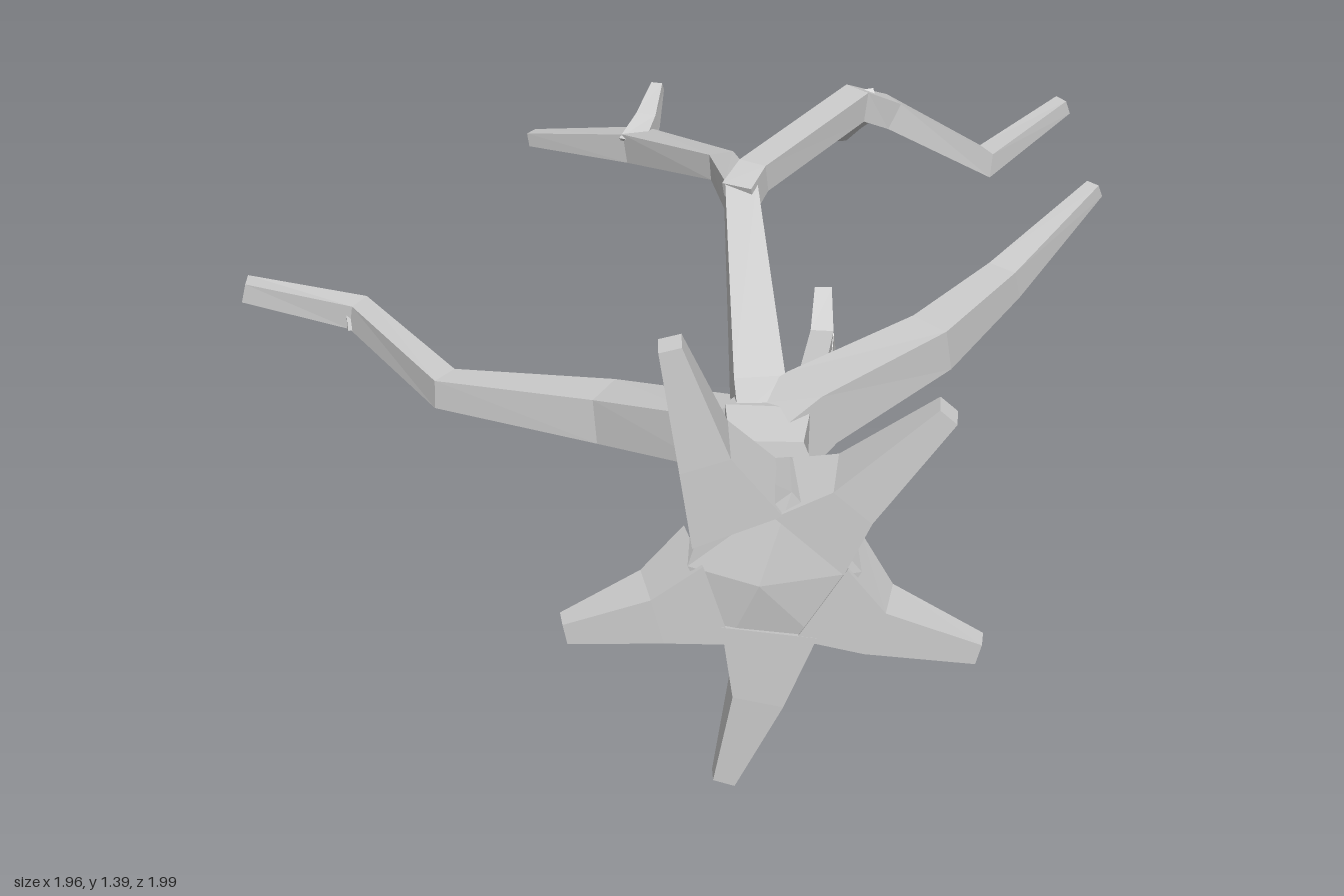
import * as THREE from 'three';
import { ConvexGeometry } from 'three/addons/geometries/ConvexGeometry.js';

const bark = new THREE.MeshStandardMaterial({ color: 0xcccccc, flatShading: true });

// Square-section limb through nodes [x, y, z, half width, half depth?].
function limbGeometry(nodes, up) {
  const pts = nodes.map((n) => new THREE.Vector3(n[0], n[1], n[2]));
  const last = pts.length - 1;
  const rings = pts.map((p, i) => {
    const t = new THREE.Vector3();
    if (i > 0) t.add(p.clone().sub(pts[i - 1]).normalize());
    if (i < last) t.add(pts[i + 1].clone().sub(p).normalize());
    t.normalize();
    const side = up.clone().cross(t).normalize();
    const normal = t.clone().cross(side);
    const [w, d = w] = nodes[i].slice(3);
    return [[-1, -1], [1, -1], [1, 1], [-1, 1]].map(([a, b]) =>
      p.clone().addScaledVector(side, a * w).addScaledVector(normal, b * d));
  });
  const out = [];
  const quad = (a, b, c, d) => out.push(a, b, c, a, c, d);
  for (let k = 0; k < last; k++) {
    for (let i = 0; i < 4; i++) {
      const j = (i + 1) % 4;
      quad(rings[k][i], rings[k][j], rings[k + 1][j], rings[k + 1][i]);
    }
  }
  quad(...rings[last]);
  quad(...rings[0].slice().reverse());
  const geometry = new THREE.BufferGeometry().setFromPoints(out);
  geometry.computeVertexNormals();
  return geometry;
}

const UP = new THREE.Vector3(0, 1, 0);
const FORWARD = new THREE.Vector3(0, 0, 1);

export function createModel() {
  const tree = new THREE.Group();
  tree.name = 'fallenTree';
  const add = (name, geometry) => {
    const mesh = new THREE.Mesh(geometry, bark);
    mesh.name = name;
    tree.add(mesh);
  };
  const limb = (name, nodes, up = UP) => add(name, limbGeometry(nodes, up));

  // Trunk, lying along z
  limb('trunk', [
    [0.22, 0.88, 0.76, 0.12], [0.22, 0.88, 0.68, 0.09], [0.22, 0.88, 0.57, 0.076],
    [0.225, 0.88, 0.44, 0.09], [0.235, 0.89, 0.34, 0.062],
  ]);

  // Flared root crown
  const valleys = [[0.26, 1.07], [0.4, 0.89], [0.32, 0.73], [0.14, 0.72], [0.06, 0.9]];
  const crown = [new THREE.Vector3(0.2, 0.87, 0.99)];
  for (const [x, y] of valleys) {
    crown.push(new THREE.Vector3(x, y, 0.965));
    crown.push(new THREE.Vector3(0.225 + (x - 0.225) * 0.97, 0.88 + (y - 0.88) * 0.97, 0.82));
  }
  for (const [a, b] of [[-1, -1], [1, -1], [1, 1], [-1, 1]]) {
    crown.push(new THREE.Vector3(0.22 + a * 0.09, 0.88 + b * 0.09, 0.68));
  }
  add('rootCrown', new ConvexGeometry(crown));

  // Roots: [shoulder x, y], [middle x, y], [tip x, y]
  const roots = [
    [[0.15, 1.0], [0.09, 1.14], [0.025, 1.38]],
    [[0.31, 0.97], [0.385, 1.05], [0.555, 1.24]],
    [[0.34, 0.81], [0.44, 0.75], [0.64, 0.7]],
    [[0.22, 0.74], [0.2, 0.58], [0.135, 0.38]],
    [[0.1, 0.81], [-0.01, 0.775], [-0.185, 0.74]],
  ];
  for (const [a, b, c] of roots) {
    limb('root', [
      [...a, 0.89, 0.095, 0.09], [...b, 0.917, 0.052, 0.062], [...c, 0.945, 0.023, 0.024],
    ], FORWARD);
  }

  // Right branch
  limb('rightBranch', [
    [0.22, 0.88, 0.43, 0.075], [0.15, 0.85, 0.35, 0.062], [-0.125, 0.79, 0.15, 0.054],
    [-0.49, 0.79, 0.05, 0.035], [-0.715, 0.82, -0.26, 0.031], [-0.975, 0.88, -0.26, 0.024],
  ]);
  limb('rightTwig', [[-0.71, 0.82, -0.24, 0.03], [-0.74, 0.79, -0.33, 0.025], [-0.768, 0.755, -0.425, 0.023]]);

  // Left branch
  limb('leftBranch', [
    [0.22, 0.88, 0.45, 0.075], [0.32, 0.935, 0.385, 0.065], [0.58, 1.01, 0.23, 0.05],
    [0.75, 1.055, 0.02, 0.036], [0.96, 1.19, -0.17, 0.017],
  ]);
  limb('leftTwig', [[0.73, 1.05, 0.04, 0.035], [0.785, 1.03, -0.07, 0.022], [0.808, 1.0, -0.19, 0.012]]);

  // Upper branch, forking in two
  limb('upperBranch', [
    [0.225, 0.89, 0.43, 0.07], [0.205, 0.94, 0.33, 0.055], [0.17, 1.17, -0.17, 0.036],
    [0.13, 1.1, -0.48, 0.03], [-0.08, 1.01, -0.8, 0.036], [-0.345, 0.945, -0.985, 0.017],
  ]);
  limb('upperTwig', [[-0.08, 1.01, -0.78, 0.034], [-0.05, 1.06, -0.84, 0.025], [-0.028, 1.115, -0.92, 0.014]]);
  limb('upperFork', [
    [0.165, 1.17, -0.15, 0.036], [0.2, 1.195, -0.22, 0.034], [0.44, 1.235, -0.54, 0.035],
    [0.52, 1.19, -0.595, 0.033], [0.765, 1.025, -0.68, 0.03], [0.96, 1.12, -0.805, 0.019],
  ]);
  limb('upperForkTwig', [[0.46, 1.225, -0.56, 0.034], [0.43, 1.15, -0.64, 0.026], [0.41, 1.07, -0.74, 0.02]]);

  // Lower branch
  limb('lowerBranch', [
    [0.23, 0.87, 0.43, 0.065], [0.26, 0.8, 0.33, 0.047], [0.29, 0.595, 0.15, 0.033],
    [0.335, 0.62, -0.23, 0.03], [0.38, 0.595, -0.57, 0.028], [0.385, 0.665, -0.69, 0.021],
  ]);
  limb('lowerTwig', [[0.378, 0.6, -0.54, 0.028], [0.385, 0.555, -0.59, 0.025], [0.4, 0.47, -0.635, 0.019]]);

  // Drooping shoot below the lower branch
  limb('droopingShoot', [
    [0.335, 0.62, -0.23, 0.032], [0.315, 0.56, -0.275, 0.03], [0.215, 0.27, -0.415, 0.036],
    [0.17, 0.19, -0.42, 0.027], [0.045, 0.015, -0.415, 0.019],
  ], FORWARD);
  limb('droopingTwig', [[0.215, 0.26, -0.41, 0.034], [0.21, 0.225, -0.48, 0.027], [0.22, 0.175, -0.615, 0.021]]);

  return tree;
}
